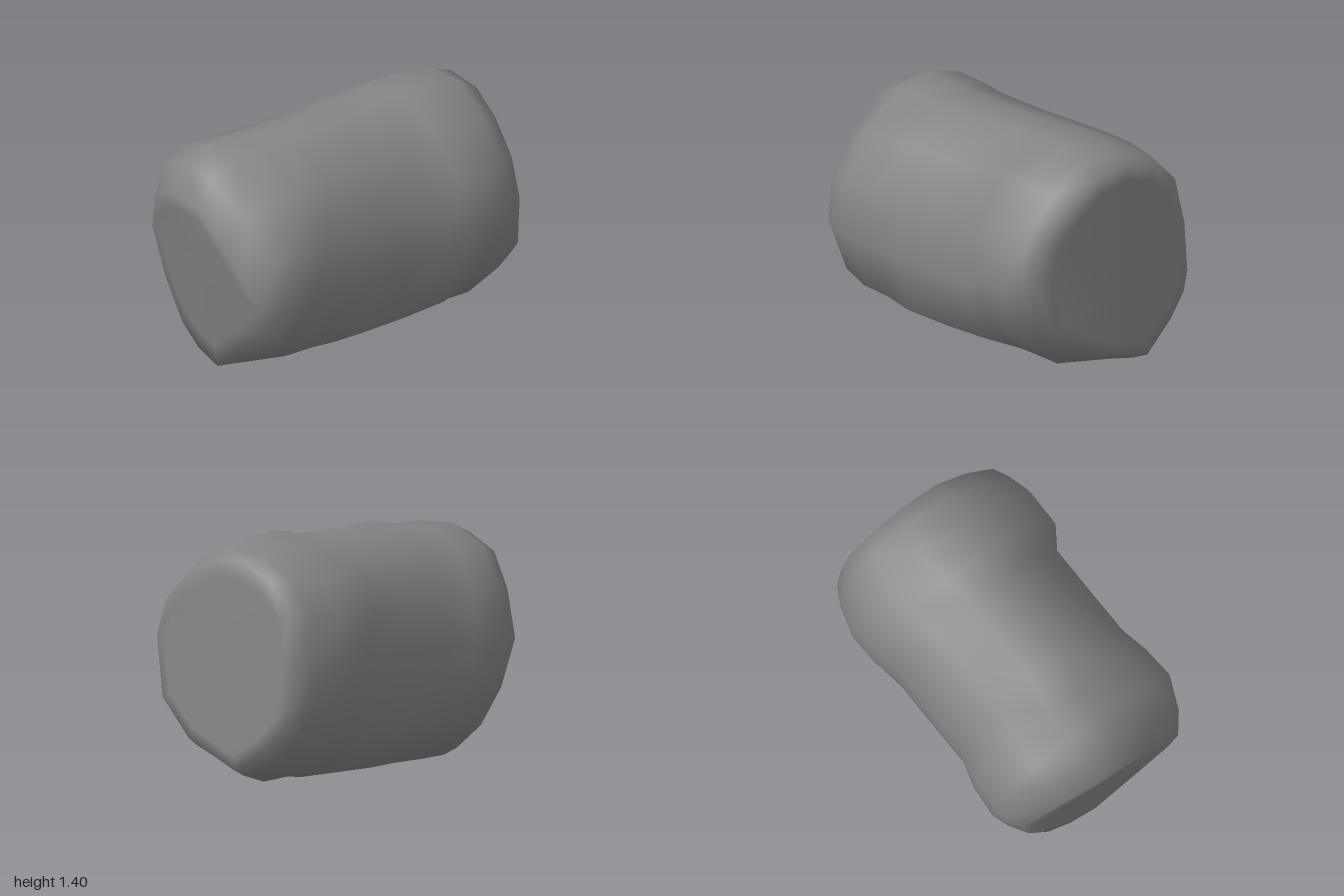
import * as THREE from 'three';

// Cross-sections as [sideways, height], from the top towards the front flank and round
const LEFT_CAP = [[0.04, 1.04], [0.2, 0.87], [0.36, 0.69], [0.46, 0.57], [0.41, 0.4], [0.2, 0.22], [-0.03, 0.04],
  [-0.2, 0.09], [-0.35, 0.19], [-0.49, 0.42], [-0.565, 0.7], [-0.44, 0.93], [-0.33, 1.02], [-0.15, 1.06]];
const LEFT_BELLY = [[0.05, 1.275], [0.36, 1.13], [0.565, 0.91], [0.59, 0.6], [0.51, 0.3], [0.25, 0.13], [-0.07, 0],
  [-0.3, 0.06], [-0.5, 0.27], [-0.6, 0.5], [-0.615, 0.75], [-0.56, 1.0], [-0.4, 1.21], [-0.17, 1.295]];
const WAIST = [[0.1, 1.335], [0.37, 1.19], [0.53, 0.89], [0.565, 0.6], [0.53, 0.29], [0.25, 0.13], [-0.07, 0.035],
  [-0.33, 0.1], [-0.49, 0.32], [-0.535, 0.55], [-0.54, 0.75], [-0.5, 0.99], [-0.36, 1.23], [-0.12, 1.33]];
const RIGHT_BELLY = [[0.12, 1.4], [0.4, 1.26], [0.6, 1.02], [0.66, 0.75], [0.6, 0.45], [0.3, 0.19], [-0.08, 0.085],
  [-0.35, 0.17], [-0.52, 0.38], [-0.58, 0.6], [-0.587, 0.8], [-0.54, 1.02], [-0.4, 1.235], [-0.15, 1.365]];
const RIGHT_CAP = [[0.16, 1.31], [0.35, 1.2], [0.52, 1.04], [0.595, 0.82], [0.5, 0.5], [0.25, 0.32], [-0.11, 0.195],
  [-0.31, 0.34], [-0.42, 0.46], [-0.46, 0.57], [-0.465, 0.85], [-0.42, 1.12], [-0.28, 1.25], [-0.07, 1.33]];

// Stations: position along the axis, two sections and their mix, height shift, bow, scale
const STATIONS = [
  [-0.935, LEFT_CAP, LEFT_CAP, 0, 0, 0.3, 0.8],
  [-0.93, LEFT_CAP, LEFT_CAP, 0, 0, 0.3, 1],
  [-0.82, LEFT_CAP, LEFT_BELLY, 0.68, 0, 0.2, 1],
  [-0.66, LEFT_BELLY, LEFT_BELLY, 0, 0, 0, 1],
  [-0.47, LEFT_BELLY, WAIST, 0.25, 0, 0, 1],
  [-0.3, WAIST, WAIST, 0, -0.01, 0, 1],
  [0, WAIST, WAIST, 0, 0, 0, 1],
  [0.27, WAIST, WAIST, 0, 0.02, 0, 1],
  [0.42, WAIST, RIGHT_BELLY, 0.95, 0, 0, 1],
  [0.61, RIGHT_BELLY, RIGHT_BELLY, 0, 0, 0, 1],
  [0.8, RIGHT_BELLY, RIGHT_CAP, 0.5, 0.01, -0.2, 1],
  [0.9, RIGHT_CAP, RIGHT_CAP, 0, 0, -0.28, 1],
  [0.905, RIGHT_CAP, RIGHT_CAP, 0, 0, -0.28, 0.85],
];
const SIDES = WAIST.length;
const AXIS = new THREE.Vector3(0.778, 0, -0.628);
const ACROSS = new THREE.Vector3(0.628, 0, 0.778);

// Sections lean back with height, more so at the left end; the caps bow on one side
function place(s, t, y, bow) {
  const lean = THREE.MathUtils.mapLinear(s, -0.93, 0.9, 0.19, 0.1);
  const curve = bow * t < 0 ? bow * t * t : 0;
  const along = s + lean * (0.7 - y) + curve;
  return new THREE.Vector3(0, y, 0).addScaledVector(AXIS, along).addScaledVector(ACROSS, t);
}

function stationPoints([s, from, to, mix, shift, bow, scale]) {
  return from.map(([t, y], j) => {
    const side = THREE.MathUtils.lerp(t, to[j][0], mix) * scale;
    const height = THREE.MathUtils.lerp(y, to[j][1], mix) + shift;
    return place(s, side, 0.7 + (height - 0.7) * scale, bow);
  });
}

function stoneGeometry() {
  const positions = [];
  const index = [];
  for (const station of STATIONS) {
    for (const point of stationPoints(station)) positions.push(...point.toArray());
  }
  // walls between neighbouring stations
  const last = STATIONS.length - 1;
  for (let i = 0; i < last; i++) {
    for (let j = 0; j < SIDES; j++) {
      const a = i * SIDES + j;
      const b = i * SIDES + ((j + 1) % SIDES);
      const c = a + SIDES, d = b + SIDES;
      index.push(a, b, c, b, d, c);
    }
  }
  // flat fans closing both ends
  for (const end of [0, last]) {
    const centre = positions.length / 3;
    positions.push(...place(STATIONS[end][0], 0, 0.7, 0).toArray());
    for (let j = 0; j < SIDES; j++) {
      const a = end * SIDES + j;
      const b = end * SIDES + ((j + 1) % SIDES);
      if (end === 0) index.push(centre, b, a);
      else index.push(centre, a, b);
    }
  }
  const geometry = new THREE.BufferGeometry();
  geometry.setAttribute('position', new THREE.Float32BufferAttribute(positions, 3));
  geometry.setIndex(index);
  geometry.computeVertexNormals();
  return geometry;
}

export function createModel() {
  const group = new THREE.Group();
  group.name = 'boulder';
  const stone = new THREE.Mesh(stoneGeometry(), new THREE.MeshStandardMaterial({ color: 0x848484 }));
  stone.name = 'stone';
  group.add(stone);
  return group;
}
